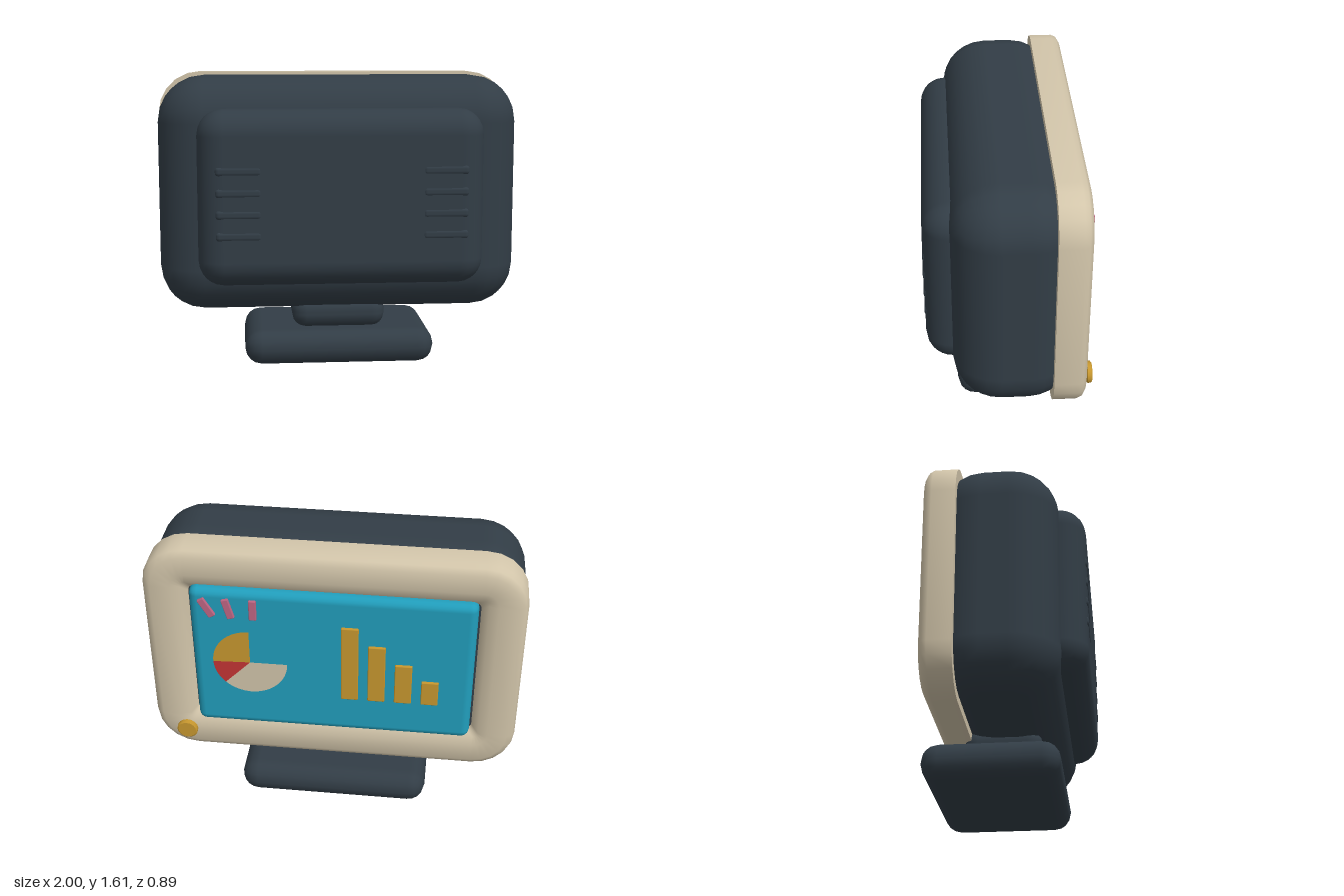
import * as THREE from 'three';
import { RoundedBoxGeometry } from 'three/addons/geometries/RoundedBoxGeometry.js';
import { toCreasedNormals } from 'three/addons/utils/BufferGeometryUtils.js';

const material = (name, color) => {
  const m = new THREE.MeshStandardMaterial({ color });
  m.name = name;
  return m;
};

// Rounded rectangle outline, counter-clockwise seen from +z
function outline(hw, hh, r, seg = 5) {
  const pts = [];
  [[1, 1], [-1, 1], [-1, -1], [1, -1]].forEach(([sx, sy], k) => {
    for (let i = 0; i <= seg; i++) {
      const a = (k + i / seg) * Math.PI / 2;
      pts.push([sx * (hw - r) + r * Math.cos(a), sy * (hh - r) + r * Math.sin(a)]);
    }
  });
  return pts;
}

// Sweep a profile of [inset, z] around a rounded rectangle
function frameGeometry(hw, hh, radius, profile) {
  const pos = [], idx = [];
  let n = 0;
  for (const [inset, z] of profile) {
    const ring = outline(hw - inset, hh - inset, Math.max(radius - inset, 0.03));
    n = ring.length;
    for (const [x, y] of ring) pos.push(x, y, z);
  }
  for (let i = 0; i < profile.length - 1; i++) {
    for (let j = 0; j < n; j++) {
      const a = i * n + j, b = i * n + (j + 1) % n, c = a + n, d = b + n;
      idx.push(a, c, b, b, c, d);
    }
  }
  const g = new THREE.BufferGeometry();
  g.setAttribute('position', new THREE.Float32BufferAttribute(pos, 3));
  g.setIndex(idx);
  return toCreasedNormals(g, 0.9);
}

export function createModel() {
  const group = new THREE.Group();
  group.name = 'desktopMonitor';
  const dark = material('darkSlate', 0x323d46);
  const beige = material('beige', 0xd2c5aa);
  const teal = material('teal', 0x219ebc);
  const gold = material('gold', 0xc8982f);
  const pink = material('pink', 0xbf6684);
  const red = material('red', 0xc43434);

  const add = (name, geo, mat, x = 0, y = 0, z = 0) => {
    const mesh = new THREE.Mesh(geo, mat);
    mesh.name = name;
    mesh.position.set(x, y, z);
    group.add(mesh);
    return mesh;
  };
  // Rounded box given by its min and max corners
  const box = (name, mat, [x0, y0, z0], [x1, y1, z1], r, seg = 2) =>
    add(name, new RoundedBoxGeometry(x1 - x0, y1 - y0, z1 - z0, seg, r), mat,
      (x0 + x1) / 2, (y0 + y1) / 2, (z0 + z1) / 2);

  // Stand
  box('base', dark, [-0.525, 0, -0.44], [0.525, 0.195, 0.28], 0.095);
  box('neck', dark, [-0.26, 0.185, -0.25], [0.26, 0.36, 0.17], 0.08);

  // Housing and raised vent panel
  box('housing', dark, [-0.988, 0.3, -0.33], [0.988, 1.592, 0.31], 0.25, 3);
  box('ventPanel', dark, [-0.77, 0.475, 0.1], [0.77, 1.425, 0.443], 0.14, 3);
  for (const side of [-1, 1]) {
    for (let i = 0; i < 4; i++) {
      const x = side * 0.55, y = 1.105 - i * 0.115;
      box('ventSlat', dark, [x - 0.125, y - 0.028, 0.37], [x + 0.125, y + 0.028, 0.447], 0.022);
    }
  }

  // Bezel with rounded outer lip and inner slope
  add('bezel', frameGeometry(1, 0.657, 0.23, [
    [0.3, -0.205], [0, -0.205], [0, -0.33], [0.012, -0.356], [0.045, -0.376],
    [0.15, -0.376], [0.2, -0.362], [0.235, -0.335], [0.25, -0.3], [0.255, -0.25],
  ]), beige, 0, 0.948, 0);

  // Screen
  box('screen', teal, [-0.75, 0.505, -0.4], [0.75, 1.39, -0.22], 0.045);

  // Bar chart
  [0.47, 0.36, 0.25, 0.15].forEach((h, i) => {
    const x = -0.095 - i * 0.143;
    box('chartBar', gold, [x - 0.046, 0.74, -0.415], [x + 0.046, 0.74 + h, -0.395], 0.005, 1);
  });

  // Pie chart with one quarter missing (start and sweep in degrees)
  for (const [mat, start, sweep] of [[gold, 90, 92], [red, 182, 44], [beige, 226, 134]]) {
    const rad = Math.PI / 180;
    const slice = add('pieSlice', new THREE.CircleGeometry(0.2, 16, start * rad, sweep * rad),
      mat, 0.44, 0.94, -0.403);
    slice.rotation.y = Math.PI;
  }

  // Tick marks fanning out in the corner
  [[0.412, 0], [0.542, 15], [0.655, 30]].forEach(([x, deg]) => {
    const tick = box('tickMark', pink, [x - 0.02, 1.225, -0.415], [x + 0.02, 1.345, -0.395], 0.005, 1);
    tick.rotation.z = -deg * Math.PI / 180;
  });

  // Control knob with chamfered rims
  const knobProfile = [[0, -0.015], [0.05, -0.015], [0.058, -0.009], [0.058, 0.009], [0.05, 0.015], [0, 0.015]]
    .map(([r, y]) => new THREE.Vector2(r, y));
  const knob = add('knob', toCreasedNormals(new THREE.LatheGeometry(knobProfile, 16), 0.5),
    gold, 0.818, 0.44, -0.405);
  knob.rotation.x = -Math.PI / 2;

  return group;
}
